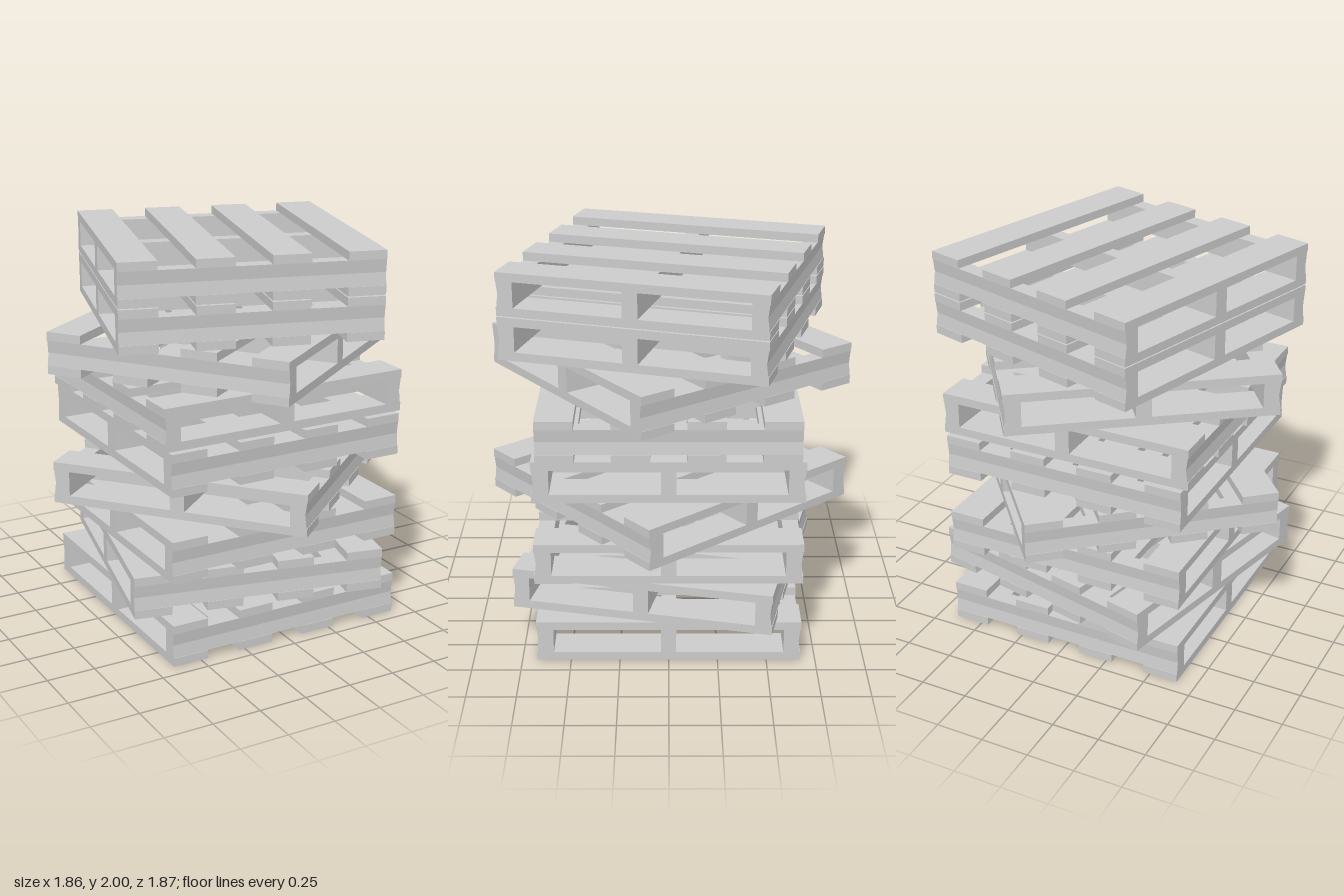
import * as THREE from 'three';

const W = 1.3, D = 1.35, H = 0.218, T = 0.044; // pallet width, depth, height, board thickness
const material = new THREE.MeshStandardMaterial({ color: 0xcccccc, flatShading: true });

// Beam running along x with the given cross-section (first coordinate is -z)
function beamGeometry(points) {
  const shape = new THREE.Shape(points.map(([a, b]) => new THREE.Vector2(a, b)));
  return new THREE.ExtrudeGeometry(shape, { depth: W, bevelEnabled: false })
    .translate(0, 0, -W / 2)
    .rotateY(Math.PI / 2);
}

const boardGeometry = new THREE.BoxGeometry(0.19, T, D);
const middleGeometry = new THREE.BoxGeometry(W, H - 2 * T, 0.077);
// Outer beams are slightly hollowed on the outside face
const backGeometry = beamGeometry([
  [0.588, T], [0.672, T], [0.664, H / 2], [0.672, H - T], [0.588, H - T],
]);

function createPallet() {
  const pallet = new THREE.Group();
  const add = (name, geometry, x, y, z) => {
    const mesh = new THREE.Mesh(geometry, material);
    mesh.name = name;
    mesh.position.set(x, y, z);
    pallet.add(mesh);
    return mesh;
  };

  // Four deck boards above and four below
  for (const x of [-0.555, -0.185, 0.185, 0.555]) {
    add('topBoard', boardGeometry, x, H - T / 2, 0);
    add('bottomBoard', boardGeometry, x, T / 2, 0);
  }

  // Three beams between the decks
  add('middleBeam', middleGeometry, 0, H / 2, 0);
  add('backBeam', backGeometry, 0, 0, 0);
  add('frontBeam', backGeometry, 0, 0, 0).rotation.y = Math.PI;
  return pallet;
}

export function createModel() {
  const stack = new THREE.Group();
  stack.name = 'palletStack';

  // Height of the underside and turn in degrees for each pallet
  const levels = [
    [0, 0], [0.2205, -12.7], [0.4405, 0], [0.66, 40.4], [0.887, 0],
    [1.11, 90], [1.334, -53.9], [1.558, -16.4], [1.782, -16.4],
  ];
  levels.forEach(([y, turn], i) => {
    const pallet = createPallet();
    pallet.name = `pallet${i + 1}`;
    pallet.position.y = y;
    pallet.rotation.y = THREE.MathUtils.degToRad(turn);
    stack.add(pallet);
  });
  return stack;
}
